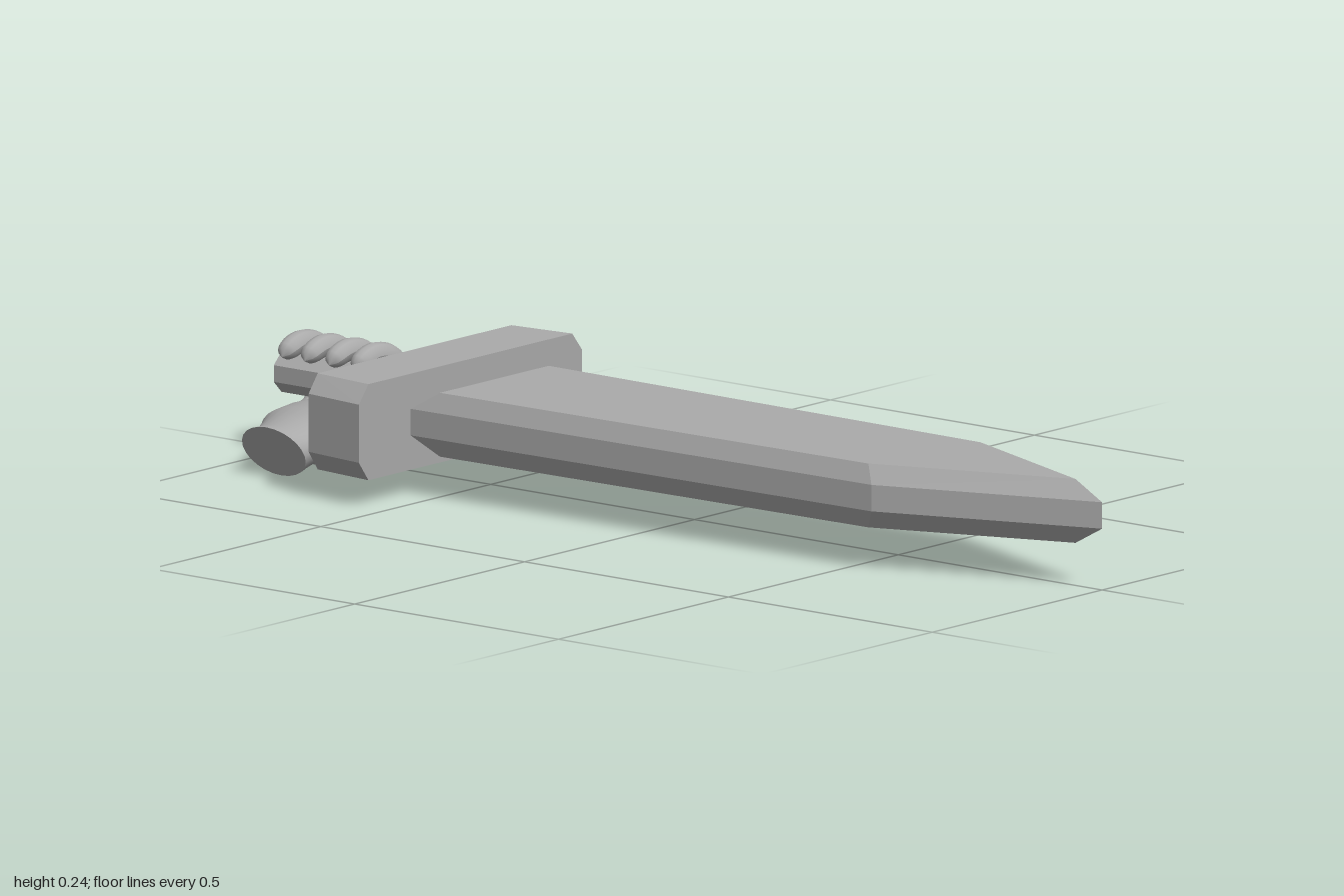
import * as THREE from 'three';

const steel = new THREE.MeshStandardMaterial({ color: 0xaaaaaa });
steel.name = 'grey';

function named(name, geometry) {
  const mesh = new THREE.Mesh(geometry, steel);
  mesh.name = name;
  return mesh;
}

// Skin a stack of equal-sized point rings and cap both ends.
// Rings run counter-clockwise as seen from the last ring's side.
function loft(rings, faceted) {
  const n = rings[0].length, last = rings.length - 1;
  const pos = rings.flat(2), index = [];
  for (let k = 0; k < last; k++) {
    for (let i = 0; i < n; i++) {
      const a = k * n + i, b = k * n + (i + 1) % n;
      index.push(a, b, b + n, a, b + n, a + n);
    }
  }
  // caps own their vertices so that their rims stay sharp
  for (const [ring, flip] of [[rings[0], true], [rings[last], false]]) {
    const base = pos.length / 3;
    pos.push(...ring.flat());
    for (let i = 1; i < n - 1; i++) {
      index.push(base, base + (flip ? i + 1 : i), base + (flip ? i : i + 1));
    }
  }
  let g = new THREE.BufferGeometry();
  g.setAttribute('position', new THREE.Float32BufferAttribute(pos, 3));
  g.setIndex(index);
  if (faceted) g = g.toNonIndexed();
  g.computeVertexNormals();
  return g;
}

// Tapered tube with rounded ends for fingers and thumb.
function digit(points, r0, r1) {
  const curve = new THREE.CatmullRomCurve3(points.map(p => new THREE.Vector3(...p)));
  const seg = 36, sides = 12, cap = 0.09;
  const g = new THREE.TubeGeometry(curve, seg, 1, sides);
  const p = g.attributes.position, v = new THREE.Vector3();
  for (let i = 0; i <= seg; i++) {
    const t = i / seg, c = curve.getPointAt(t);
    const e = Math.max(0, 1 - Math.min(t, 1 - t) / cap);
    const r = THREE.MathUtils.lerp(r0, r1, t) * Math.sqrt(Math.max(0.0004, 1 - e * e));
    for (let j = 0; j <= sides; j++) {
      const k = i * (sides + 1) + j;
      v.fromBufferAttribute(p, k).sub(c).multiplyScalar(r).add(c);
      p.setXYZ(k, v.x, v.y, v.z);
    }
  }
  g.computeVertexNormals();
  return g;
}

export function createModel() {
  const model = new THREE.Group();
  model.name = 'swordInHand';

  // Blade: five-sided outline, bevelled above and below
  const outer = [[1, 0], [0.607, -0.157], [-0.545, -0.171], [-0.545, 0.182], [0.565, 0.157]];
  const inner = [[0.935, 0], [0.583, -0.142], [-0.487, -0.155], [-0.487, 0.165], [0.545, 0.142]];
  const level = (outline, y) => outline.map(([x, z]) => [x, y, z]);
  model.add(named('blade', loft([
    level(inner, 0.082), level(outer, 0.118), level(outer, 0.169), level(inner, 0.205),
  ], true)));

  // Guard: bar with cut corners, a little longer on the blade side
  const guardRing = (x, s) => [
    [0.235, -0.3], [0.235, 0.3], [0.2, 0.328], [0.088, 0.328],
    [0.05, 0.3], [0.05, -0.3], [0.088, -0.328], [0.2, -0.328],
  ].map(([y, z]) => [x, y, z * s]);
  model.add(named('guard', loft([guardRing(-0.687, 0.95), guardRing(-0.55, 1)], true)));

  // Grip: eight-sided rod
  const gripGeometry = new THREE.CylinderGeometry(0.042, 0.042, 0.32, 8, 1, false, Math.PI / 8)
    .rotateZ(Math.PI / 2).toNonIndexed();
  gripGeometry.computeVertexNormals();
  const grip = named('grip', gripGeometry);
  grip.position.set(-0.84, 0.152, 0);
  model.add(grip);

  const hand = new THREE.Group();
  hand.name = 'hand';
  model.add(hand);

  // Palm and wrist: oval sections [x, y, z, half width, half height, lean]
  const sections = [
    [-0.875, 0.088, -0.055, 0.085, 0.018, 0],
    [-0.875, 0.082, -0.02, 0.105, 0.03, 0],
    [-0.875, 0.074, 0.04, 0.11, 0.04, 0],
    [-0.872, 0.067, 0.1, 0.105, 0.046, 0],
    [-0.862, 0.06, 0.15, 0.083, 0.046, 0.15],
    [-0.855, 0.052, 0.19, 0.072, 0.047, 0.35],
    [-0.855, 0.05, 0.2125, 0.076, 0.05, 0.45],
  ];
  hand.add(named('palm', loft(sections.map(([x, y, z, w, h, lean]) =>
    Array.from({ length: 24 }, (_, i) => {
      const a = i / 24 * Math.PI * 2, up = h * Math.sin(a);
      return [x + w * Math.cos(a), y + up, z + lean * up];
    })))));

  // Four fingers curling behind the grip and over its top
  [-0.963, -0.907, -0.847, -0.785].forEach((x, i) => {
    const mid = -0.875 + (x + 0.875) * 0.97;
    hand.add(named('finger' + (i + 1), digit([
      [mid, 0.066, 0.06], [mid, 0.066, 0], [x, 0.085, -0.045], [x, 0.145, -0.069],
      [x, 0.195, -0.05], [x, 0.213, 0], [x, 0.206, 0.035], [x, 0.192, 0.06],
    ], 0.032, 0.02)));
  });

  // Thumb bending up along the front of the grip
  hand.add(named('thumb', digit([
    [-0.84, 0.055, 0.12], [-0.775, 0.055, 0.105], [-0.742, 0.08, 0.095],
    [-0.742, 0.112, 0.09], [-0.772, 0.13, 0.085], [-0.82, 0.13, 0.075],
  ], 0.044, 0.025)));

  return model;
}
